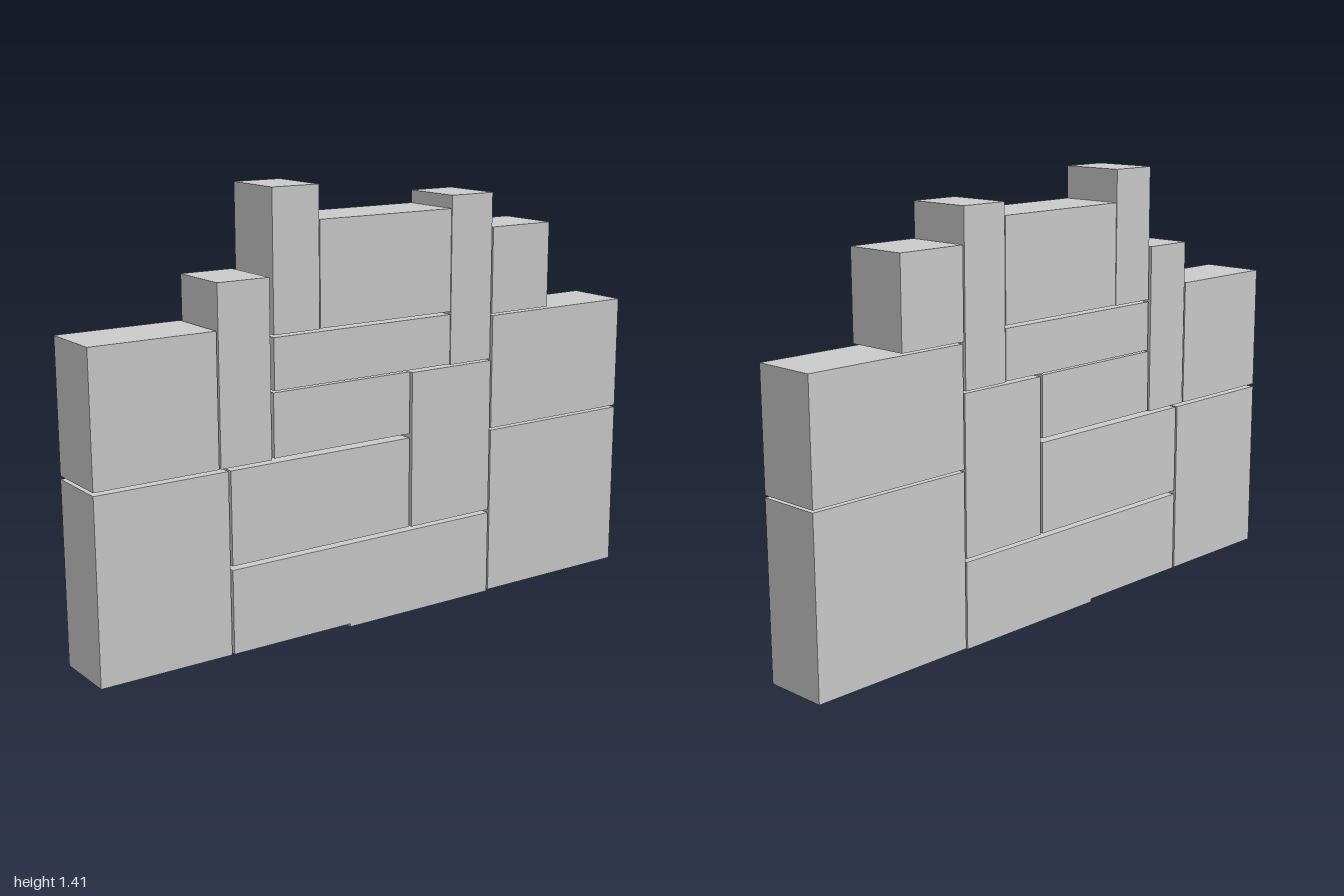
import * as THREE from 'three';

const DEPTH = 0.212;

export function createModel() {
  const wall = new THREE.Group();
  wall.name = 'stoneWall';
  const material = new THREE.MeshStandardMaterial({ color: 0xcccccc, flatShading: true });

  const add = (name, geometry) => {
    const mesh = new THREE.Mesh(geometry, material);
    mesh.name = name;
    wall.add(mesh);
  };

  // Rectangular blocks: name, left x, right x, bottom y, top y
  const blocks = [
    ['lowerRightEndBlock', -1, -0.565, 0.01, 0.585],
    ['upperRightEndBlock', -1, -0.596, 0.595, 1.007],
    ['rightUprightBlock', -0.59, -0.415, 0.595, 1.146],
    ['tallTopPost', -0.402, -0.24, 0.973, 1.406],
    ['topCentreBlock', -0.237, 0.259, 0.975, 1.302],
    ['shortTopPost', 0.262, 0.426, 0.802, 1.343],
    ['upperCourseSlab', -0.402, 0.259, 0.805, 0.966],
    ['middleCourseBlock', -0.406, 0.1, 0.599, 0.8],
    ['lowerCourseBlock', -0.557, 0.1, 0.29, 0.585],
    ['leftUprightBlock', 0.11, 0.43, 0.288, 0.796],
    ['lowerLeftEndBlock', 0.436, 1, 0.004, 0.56],
    ['upperLeftEndBlock', 0.436, 1, 0.567, 0.944],
    ['topLeftBlock', 0.432, 0.67, 0.95, 1.232],
  ];
  for (const [name, x0, x1, y0, y1] of blocks) {
    const box = new THREE.BoxGeometry(x1 - x0, y1 - y0, DEPTH);
    add(name, box.translate((x0 + x1) / 2, (y0 + y1) / 2, 0));
  }

  // Foundation slab with a shallow step in its underside
  const outline = [[-0.557, 0.01], [-0.13, 0.01], [-0.13, 0], [0.43, 0], [0.43, 0.277], [-0.557, 0.277]];
  const shape = new THREE.Shape(outline.map(([x, y]) => new THREE.Vector2(x, y)));
  const slab = new THREE.ExtrudeGeometry(shape, { depth: DEPTH, bevelEnabled: false });
  add('foundationSlab', slab.translate(0, 0, -DEPTH / 2));

  return wall;
}
